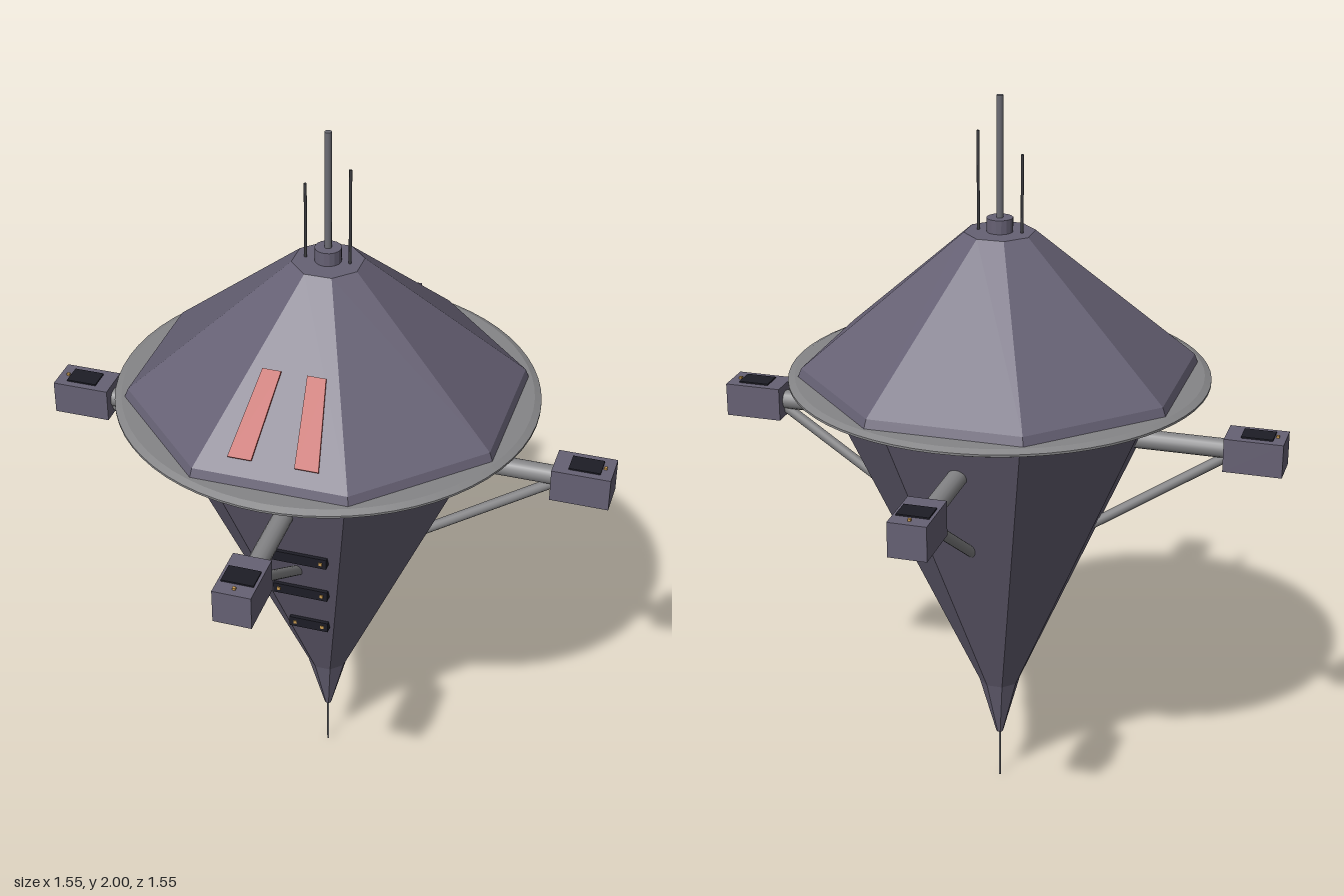
import * as THREE from 'three';

const flat = (name, color, extra = {}) => {
  const m = new THREE.MeshStandardMaterial({ color, ...extra });
  m.name = name;
  return m;
};

export function createModel() {
  const model = new THREE.Group();
  const hull = flat('hull grey violet', 0x666174, { flatShading: true });
  const metal = flat('metal grey', 0x858587);
  const mastGrey = flat('mast grey', 0x6c6c74);
  const dark = flat('dark panel', 0x1d1d26);
  const wire = flat('antenna dark', 0x3c3c40);
  const red = flat('red stripe', 0xb0352c);
  const lamp = flat('amber lamp', 0xc89a50);

  const add = (name, geometry, material, parent = model) => {
    const mesh = new THREE.Mesh(geometry, material);
    mesh.name = name;
    parent.add(mesh);
    return mesh;
  };
  const box = (name, size, pos, material, parent) =>
    add(name, new THREE.BoxGeometry(...size), material, parent).position.set(...pos);
  // Rod between two points
  const rod = (name, a, b, r, material, parent, sides = 16) => {
    const from = new THREE.Vector3(...a), to = new THREE.Vector3(...b);
    const dir = to.clone().sub(from);
    const mesh = add(name, new THREE.CylinderGeometry(r, r, dir.length(), sides), material, parent);
    mesh.position.copy(from).add(to).multiplyScalar(0.5);
    mesh.quaternion.setFromUnitVectors(new THREE.Vector3(0, 1, 0), dir.normalize());
  };
  // Eight-sided shell, profile given as [distance to flat side, height]
  const octagon = (name, profile) => {
    const k = 1 / Math.cos(Math.PI / 8);
    const pts = profile.map(([r, y]) => new THREE.Vector2(r * k, y));
    add(name, new THREE.LatheGeometry(pts, 8, Math.PI / 8), hull);
  };

  // Hull
  octagon('lowerHull', [[0, 0.145], [0.009, 0.147], [0.053, 0.32], [0.442, 1.242], [0, 1.242]]);
  octagon('upperHull', [[0, 1.247], [0.5, 1.247], [0.487, 1.283], [0.087, 1.643], [0, 1.643]]);

  // Round rim between the two hulls
  const rim = [[0, 1.238], [0.545, 1.238], [0.563, 1.246], [0.563, 1.252], [0.545, 1.26], [0, 1.26]];
  for (let i = 0; i < rim.length - 1; i++) {
    const pts = [rim[i], rim[i + 1]].map(([r, y]) => new THREE.Vector2(r, y));
    add('rim', new THREE.LatheGeometry(pts, 64), metal);
  }

  // Masts and bottom needle
  rod('mastBase', [0, 1.635, 0], [0, 1.68, 0], 0.035, hull, model, 16);
  rod('mast', [0, 1.66, 0], [0, 2, 0], 0.009, mastGrey);
  rod('shortAntenna', [-0.06, 1.62, 0], [-0.06, 1.85, 0], 0.004, wire, model, 8);
  rod('longAntenna', [0.058, 1.62, 0], [0.058, 1.905, 0], 0.004, wire, model, 8);
  rod('needle', [0, 0, 0], [0, 0.16, 0], 0.003, metal, model, 8);

  // Four outriggers: arm, strut and pod
  for (let i = 0; i < 4; i++) {
    const arm = new THREE.Group();
    arm.name = 'outrigger';
    arm.rotation.y = i * Math.PI / 2;
    model.add(arm);
    rod('arm', [0, 1.105, 0.33], [0, 1.105, 0.63], 0.026, metal, arm);
    rod('strut', [0, 0.832, 0.25], [0, 1.085, 0.625], 0.014, metal, arm);
    box('pod', [0.1, 0.092, 0.156], [0, 1.105, 0.697], hull, arm);
    // Roof panel keeps the same orientation on every pod
    box('podPanel', i % 2 ? [0.06, 0.006, 0.084] : [0.084, 0.006, 0.06], [0, 1.152, 0.702], dark, arm);
    box('podLamp', [0.008, 0.008, 0.008], [0, 1.153, 0.752], lamp, arm);
  }

  // Front vents with a lamp at each end
  for (const [y, half, z] of [[0.925, 0.096, 0.31], [0.757, 0.076, 0.239], [0.587, 0.055, 0.167]]) {
    box('vent', [half * 2, 0.03, 0.03], [0, y, z], dark);
    for (const s of [-1, 1])
      box('ventLamp', [0.009, 0.009, 0.006], [s * (half - 0.016), y, z + 0.0145], lamp);
  }

  // Pair of tapered red stripes lying on the front roof face
  const tilt = Math.atan2(0.4, 0.36);
  for (const s of [-1, 1]) {
    const pts = [[0.056, -0.118], [0.118, -0.118], [0.083, 0.118], [0.034, 0.118]];
    const shape = new THREE.Shape(pts.map(([x, y]) => new THREE.Vector2(s * x, y)));
    const stripe = add('roofStripe',
      new THREE.ExtrudeGeometry(shape, { depth: 0.008, bevelEnabled: false }), red);
    stripe.position.set(0, 1.39, 0.087 + (1.643 - 1.39) * 0.4 / 0.36 - 0.003);
    stripe.rotation.x = -tilt;
  }
  return model;
}
